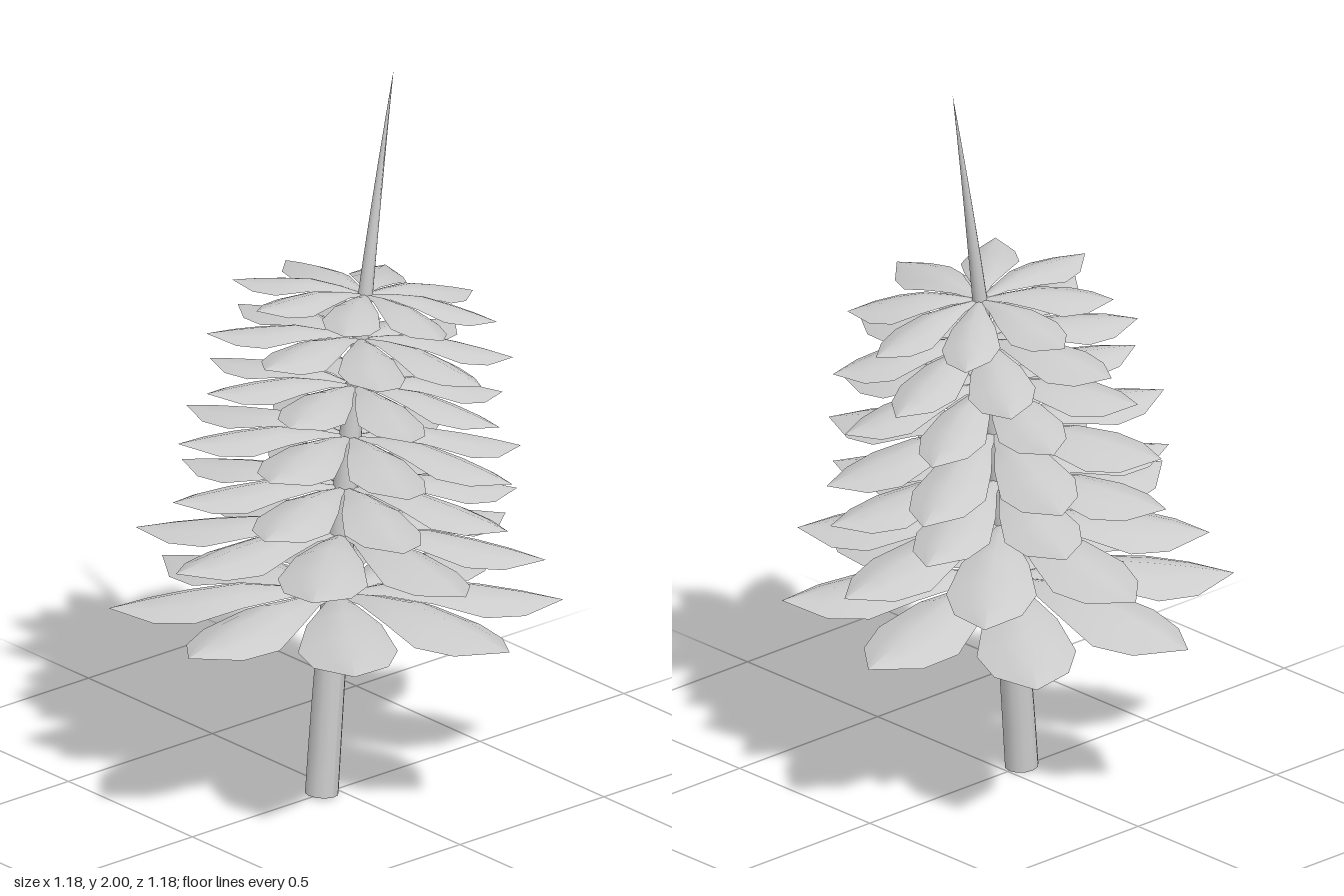
import * as THREE from 'three';

const trunkX = (y) => -0.05 + 0.075 * y + 0.025 * y * y;
const trunkSlope = (y) => 0.075 + 0.05 * y;

// Trunk: a capped cylinder, tapered to a point and bent along the lean
function makeTrunk(material) {
  const geometry = new THREE.CylinderGeometry(1, 1, 2, 12, 16);
  const p = geometry.attributes.position;
  for (let i = 0; i < p.count; i++) {
    const y = p.getY(i) + 1;
    const r = 0.045 * (1 - Math.pow(y / 2, 1.6));
    const dx = p.getX(i) * r;
    const lift = 0.0035 * (1 - y / 2);
    p.setXYZ(i, trunkX(y) + dx, y + lift - dx * trunkSlope(y), p.getZ(i) * r);
  }
  geometry.computeVertexNormals();
  const trunk = new THREE.Mesh(geometry, material);
  trunk.name = 'trunk';
  return trunk;
}

// Leaf of unit length along +x: [distance, half width, midrib height]
const LEAF = [
  [0, 0.02, 0], [0.2, 0.075, 0.035], [0.42, 0.165, 0.052],
  [0.64, 0.22, 0.022], [0.82, 0.165, -0.01], [1, 0.001, -0.05],
];

function makeLeafGeometry() {
  const positions = [], index = [], across = 5;
  LEAF.forEach(([x, w, h], i) => {
    for (let j = 0; j < across; j++) {
      const s = (j / (across - 1)) * 2 - 1;
      positions.push(x, h - 0.35 * w * Math.pow(Math.abs(s), 1.4), s * w);
      if (i < LEAF.length - 1 && j < across - 1) {
        const a = i * across + j, b = a + across;
        index.push(a, a + 1, b, a + 1, b + 1, b);
      }
    }
  });
  const geometry = new THREE.BufferGeometry();
  geometry.setAttribute('position', new THREE.Float32BufferAttribute(positions, 3));
  geometry.setIndex(index);
  geometry.computeVertexNormals();
  return geometry;
}

// Tiers: height, leaf length, turn in degrees, lean to the side, lean to the back
const TIERS = [
  [0.56, 0.6, -9, 0.05, 0.047],
  [0.725, 0.545, 3.5, 0.093, 0.045],
  [0.855, 0.48, 22, 0.1, 0.01],
  [0.995, 0.48, 22, 0.15, 0.01],
  [1.135, 0.42, 20, 0.147, 0],
  [1.265, 0.41, -11, 0.156, 0],
  [1.385, 0.355, 5, 0.157, 0],
];
const LEAVES_PER_TIER = 8;

export function createModel() {
  const group = new THREE.Group();
  group.name = 'leaningTree';
  const bark = new THREE.MeshStandardMaterial({ color: 0xcccccc });
  const foliage = new THREE.MeshStandardMaterial({ color: 0xcccccc, side: THREE.DoubleSide });
  group.add(makeTrunk(bark));

  const leafGeometry = makeLeafGeometry();
  TIERS.forEach(([y, length, turn, lean, back], k) => {
    const tier = new THREE.Group();
    tier.name = `leafTier${k + 1}`;
    tier.position.set(trunkX(y), y, 0);
    tier.rotation.set(-back, 0, -lean);
    for (let i = 0; i < LEAVES_PER_TIER; i++) {
      const leaf = new THREE.Mesh(leafGeometry, foliage);
      leaf.name = 'leaf';
      leaf.scale.setScalar(length);
      leaf.rotation.y = -THREE.MathUtils.degToRad(turn + (i * 360) / LEAVES_PER_TIER);
      tier.add(leaf);
    }
    group.add(tier);
  });
  return group;
}
